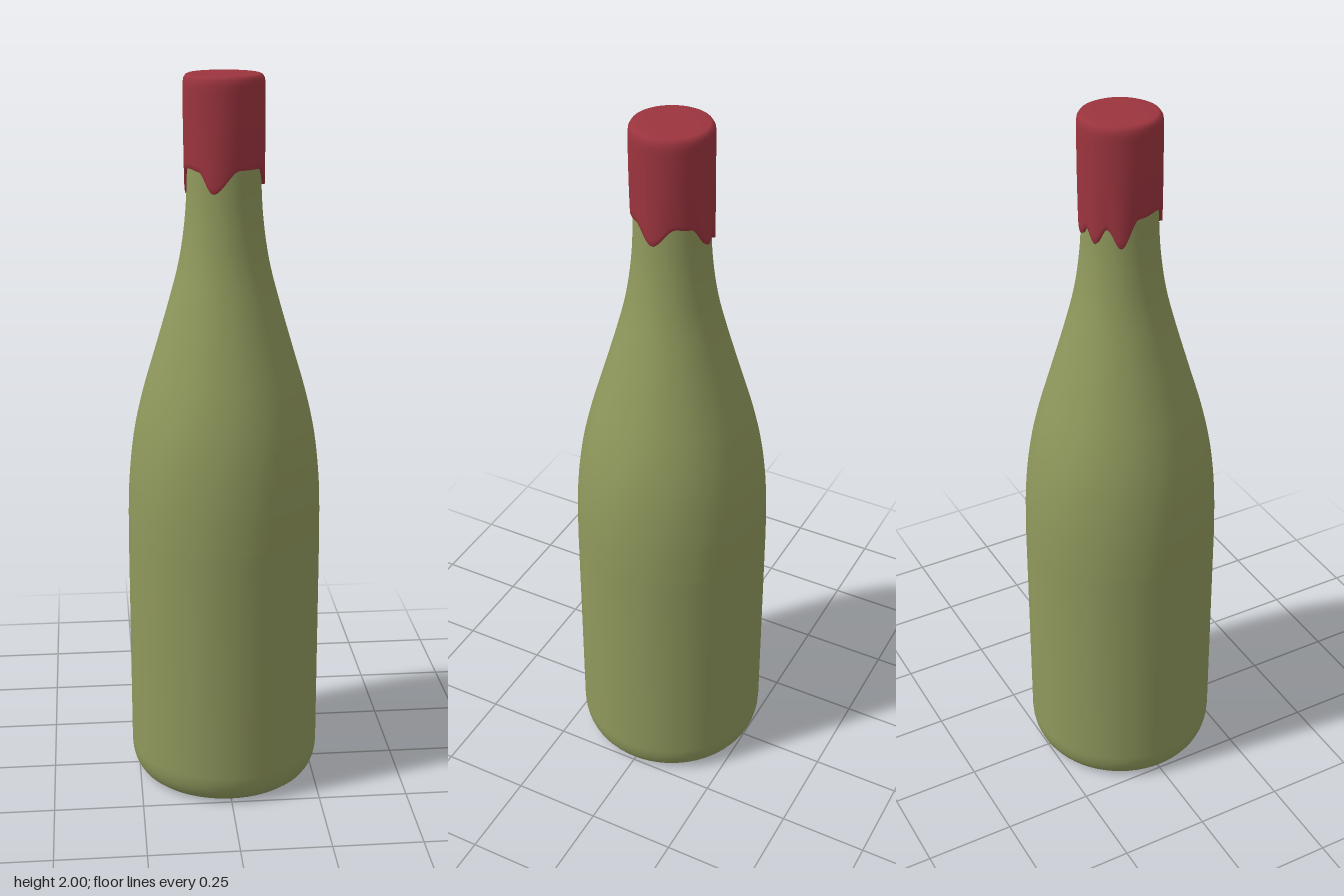
import * as THREE from 'three';
import { mergeVertices } from 'three/addons/utils/BufferGeometryUtils.js';

const V = (x, y) => new THREE.Vector2(x, y);

// Lower edge of the wax: angle in degrees from +z towards +x, and height
const EDGE = [
  [-60, 1.76], [-44, 1.755], [-20, 1.70], [18, 1.76], [60, 1.76], [90, 1.71], [122, 1.76],
  [143, 1.755], [176, 1.695], [190, 1.72], [206, 1.685], [224, 1.73], [243, 1.68], [268, 1.755], [300, 1.76],
];

function edgeHeight(deg) {
  const d = deg > 300 ? deg - 360 : deg;
  let i = 0;
  while (i < EDGE.length - 2 && d > EDGE[i + 1][0]) i++;
  const [a, ya] = EDGE[i], [b, yb] = EDGE[i + 1];
  return THREE.MathUtils.lerp(ya, yb, THREE.MathUtils.smoothstep(d, a, b));
}

// Weld the lathe seam and smooth the surface
function weld(geometry) {
  geometry.deleteAttribute('uv');
  geometry.deleteAttribute('normal');
  const welded = mergeVertices(geometry, 1e-5);
  welded.computeVertexNormals();
  return welded;
}

function makeBottle() {
  // Domed hollow under the base, then the rounded heel
  const base = [V(0, 0.12), V(0.07, 0.113), V(0.13, 0.092), V(0.175, 0.06), V(0.2, 0.025), V(0.212, 0.006), V(0.222, 0)];
  for (let i = 0; i <= 6; i++) {
    const a = (i / 6) * Math.PI / 2;
    base.push(V(0.228 + 0.042 * Math.sin(a), 0.085 - 0.083 * Math.cos(a)));
  }
  // Straight body flowing into sloping shoulders and a slim neck
  const side = new THREE.SplineCurve([
    V(0.27, 0.74), V(0.266, 0.88), V(0.251, 1.02), V(0.225, 1.14), V(0.19, 1.26),
    V(0.149, 1.4), V(0.121, 1.51), V(0.105, 1.62), V(0.099, 1.72), V(0.097, 1.82),
  ]).getPoints(36);
  const profile = [...base, V(0.27, 0.3), V(0.27, 0.55), ...side, V(0.096, 1.95), V(0, 1.95)];
  return weld(new THREE.LatheGeometry(profile, 64));
}

function makeWax() {
  const rows = 16, wall = 0.108;
  const profile = [V(0.094, 0), V(0.102, 0)];
  for (let i = 0; i <= rows; i++) profile.push(V(wall, i / rows));
  profile.push(V(0.106, 1.04), V(0.101, 1.065), V(0.094, 1.075), V(0.05, 1.077), V(0, 1.077));

  // Stretch the wall down to the dripping edge, thickening each drip
  const geometry = new THREE.LatheGeometry(profile, 120);
  const p = geometry.attributes.position;
  const top = 1.975, scale = 0.025 / 0.077;
  for (let i = 0; i < p.count; i++) {
    const x = p.getX(i), z = p.getZ(i), t = p.getY(i);
    const deg = (THREE.MathUtils.radToDeg(Math.atan2(x, z)) + 360) % 360;
    const low = edgeHeight(deg);
    p.setY(i, t > 1 ? top + (t - 1) * scale : THREE.MathUtils.lerp(low, top, t));
    const drip = (1.75 - low) / 0.07;
    const fade = Math.max(0, 1 - t * 1.3);
    const swell = 1 + 0.035 * drip * fade - 0.02 * fade * fade;
    p.setX(i, x * swell);
    p.setZ(i, z * swell);
  }
  return weld(geometry);
}

export function createModel() {
  const model = new THREE.Group();
  model.name = 'bottle';

  const add = (name, geometry, color) => {
    const material = new THREE.MeshStandardMaterial({ color, side: THREE.DoubleSide });
    const mesh = new THREE.Mesh(geometry, material);
    mesh.name = name;
    model.add(mesh);
  };
  add('glassBody', makeBottle(), 0x8f985c);
  add('waxCap', makeWax(), 0x9c343e);
  return model;
}
